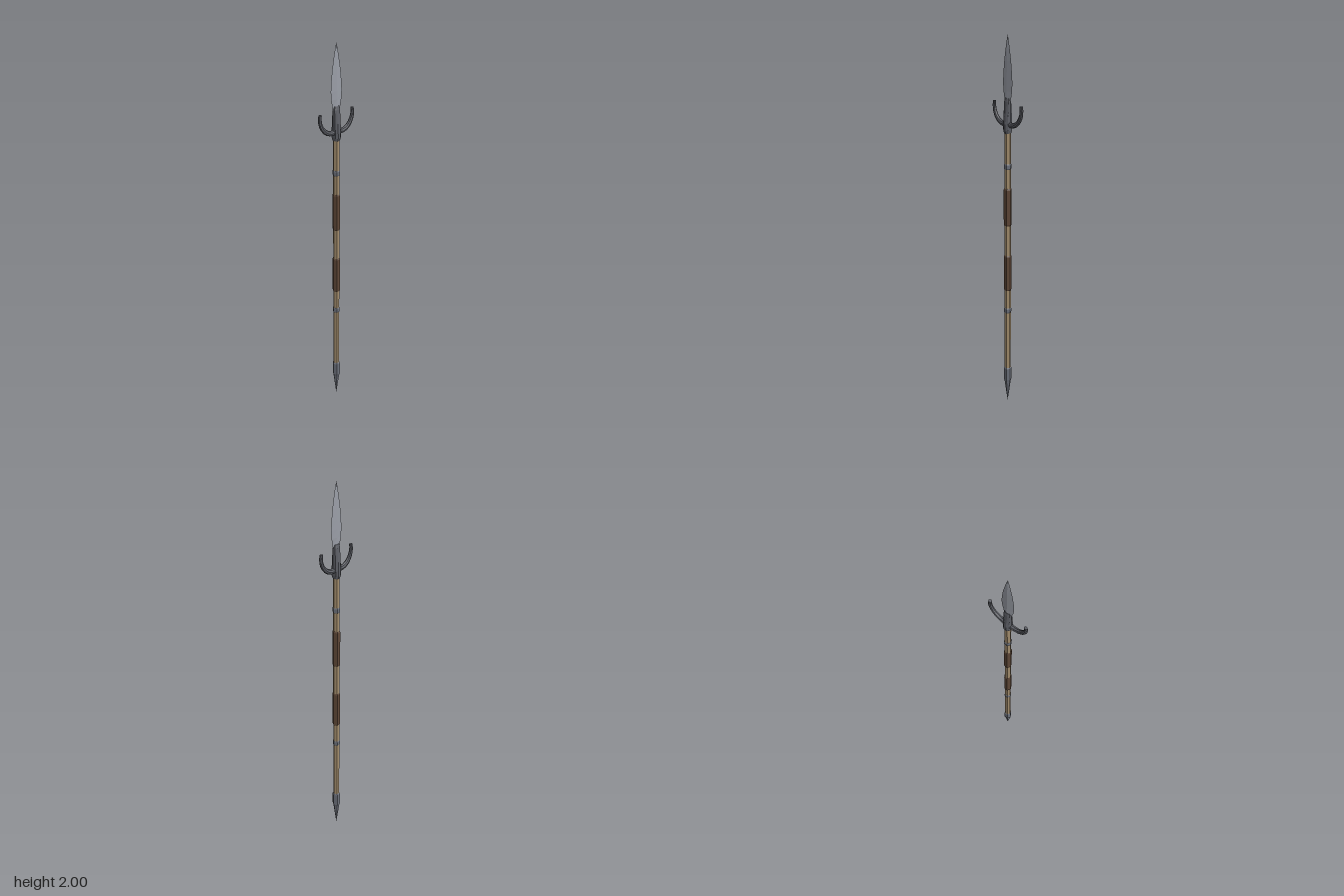
import * as THREE from 'three';

const mat = (color) => new THREE.MeshStandardMaterial({ color, flatShading: true, side: THREE.DoubleSide });
const WOOD = mat(0xa38d6d), LEATHER = mat(0x5e4737), STEEL = mat(0x6c707a);
const IRON = mat(0x5c5e65), BLADE = mat(0x9a9ea7);

// Skin elliptical cross-sections: rings of { c: centre, u, v: half-axis vectors }
function loft(rings, sides) {
  const pos = [], idx = [];
  for (const { c, u, v } of rings) {
    for (let i = 0; i < sides; i++) {
      const a = (i / sides) * Math.PI * 2;
      const p = c.clone().addScaledVector(u, Math.cos(a)).addScaledVector(v, Math.sin(a));
      pos.push(p.x, p.y, p.z);
    }
  }
  for (let r = 0; r < rings.length - 1; r++) {
    for (let i = 0; i < sides; i++) {
      const a = r * sides + i, b = r * sides + ((i + 1) % sides);
      idx.push(a, a + sides, b, b, a + sides, b + sides);
    }
  }
  // End caps
  const last = (rings.length - 1) * sides;
  for (let i = 1; i < sides - 1; i++) idx.push(0, i, i + 1, last, last + i + 1, last + i);
  const g = new THREE.BufferGeometry();
  g.setAttribute('position', new THREE.Float32BufferAttribute(pos, 3));
  g.setIndex(idx);
  g.computeVertexNormals();
  return g;
}

// Upright loft from rows of [y, half width, half depth]
const upright = (rows, sides) => loft(rows.map(([y, w, d]) => ({
  c: new THREE.Vector3(0, y, 0), u: new THREE.Vector3(w, 0, 0), v: new THREE.Vector3(0, 0, d),
})), sides);

// Faceted turned piece from rows of [y, radius], corners on the x axis
const turned = (rows, sides) => upright(rows.map(([y, r]) => [y, r, r]), sides);

export function createModel() {
  const group = new THREE.Group();
  const add = (name, geometry, material) => {
    const m = new THREE.Mesh(geometry, material);
    m.name = name;
    group.add(m);
  };

  // Pole
  add('shaft', turned([[0.18, 0.017], [1.56, 0.0165]], 6), WOOD);

  // Leather wraps with bevelled ends
  [['lowerGrip', 0.68, 0.88], ['upperGrip', 1.045, 1.245]].forEach(([name, a, b]) =>
    add(name, turned([[a, 0.017], [a + 0.006, 0.0205], [b - 0.006, 0.0205], [b, 0.017]], 6), LEATHER));

  // Metal bands
  [['lowerBand', 0.562], ['upperBand', 1.36]].forEach(([name, y]) =>
    add(name, turned([[y - 0.014, 0.017], [y - 0.009, 0.0198], [y + 0.009, 0.0198], [y + 0.014, 0.017]], 6), STEEL));

  // Butt collar and spike
  add('buttCollar', turned([[0.125, 0.018], [0.135, 0.021], [0.205, 0.021], [0.212, 0.017]], 6), STEEL);
  add('buttSpike', turned([[0, 0.0005], [0.065, 0.0095], [0.127, 0.0175]], 6), STEEL);

  // Socket holding the blade
  add('socket', upright([
    [1.53, 0.018, 0.019], [1.545, 0.0215, 0.0235], [1.575, 0.0225, 0.0235], [1.62, 0.0215, 0.02],
    [1.685, 0.021, 0.013], [1.702, 0.016, 0.009],
  ], 10), IRON);

  // Diamond-section leaf blade
  add('blade', upright([
    [1.64, 0.016, 0.008], [1.7, 0.025, 0.008], [1.735, 0.032, 0.0075], [1.775, 0.0345, 0.007],
    [1.82, 0.032, 0.006], [1.88, 0.025, 0.0048], [1.94, 0.0145, 0.0035], [1.98, 0.006, 0.002], [2, 0.0004, 0.0004],
  ], 4), BLADE);

  // Upturned side prongs, tapering towards the tips
  for (const [name, s] of [['leftProng', 1], ['rightProng', -1]]) {
    const path = new THREE.CatmullRomCurve3([
      [0, 1.575], [0.035, 1.572], [0.065, 1.583], [0.09, 1.61], [0.102, 1.645], [0.1, 1.676],
    ].map(([x, y]) => new THREE.Vector3(s * x, y, 0)));
    const rings = [];
    for (let i = 0; i <= 9; i++) {
      const t = i / 9, r = 0.015 - 0.0065 * t;
      const tan = path.getTangentAt(t);
      rings.push({
        c: path.getPointAt(t),
        u: new THREE.Vector3(0, 0, r * 0.85),
        v: new THREE.Vector3(-tan.y, tan.x, 0).multiplyScalar(-r),
      });
    }
    add(name, loft(rings, 8), IRON);
  }
  return group;
}
